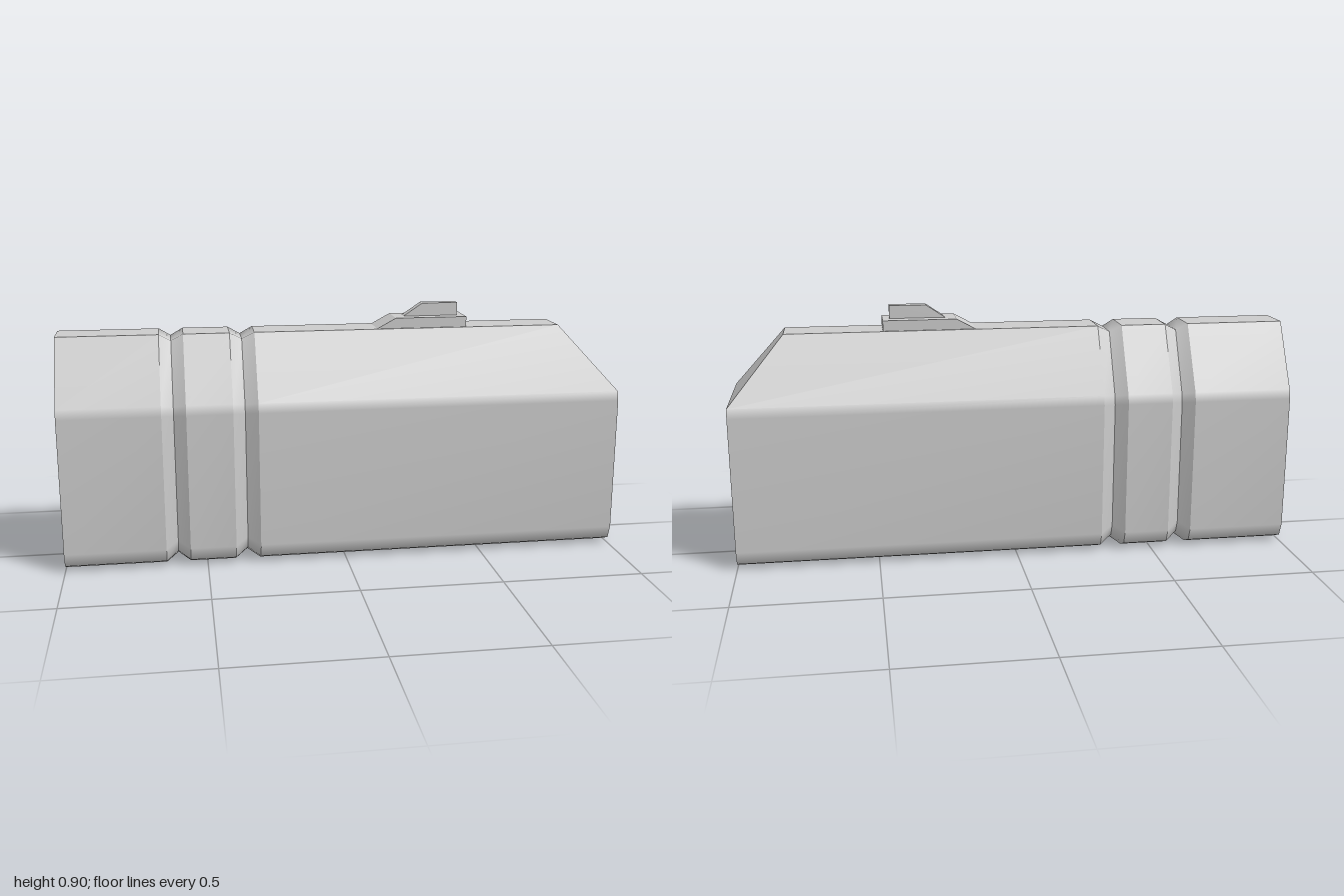
import * as THREE from 'three';

// Half cross-sections as [z, y], listed from bottom to top
const OUTER = [[0.135, 0], [0.185, 0.022], [0.203, 0.07], [0.203, 0.555], [0.195, 0.588], [0.068, 0.817]];
const BORE = [[0.055, 0.079], [0.092, 0.088], [0.118, 0.115], [0.13, 0.155],
  [0.13, 0.495], [0.118, 0.536], [0.092, 0.563], [0.055, 0.572]];
const CUT_X = 0.805; // where the sloped nose begins on the top ridge

const mirrored = (half) => [...half, ...half.map(([z, y]) => [-z, y]).reverse()];
const ring = (half, x) => mirrored(half).map(([z, y]) => [x, y, z]);

// Smooth skin between two matching rows of [x, y, z]
function skin(a, b) {
  const n = a.length;
  const index = [];
  for (let i = 0; i < n - 1; i++) index.push(i, n + i, n + i + 1, i, n + i + 1, i + 1);
  return surface([...a, ...b], index);
}

// Smooth skin closed all the way round: the seam shares its vertices
function tube(a, b) {
  const n = a.length;
  const index = [];
  for (let i = 0; i < n; i++) {
    const j = (i + 1) % n;
    index.push(i, n + i, n + j, i, n + j, j);
  }
  return surface([...a, ...b], index);
}

function surface(points, index) {
  const g = new THREE.BufferGeometry();
  g.setAttribute('position', new THREE.Float32BufferAttribute(points.flat(), 3));
  g.setIndex(index);
  g.computeVertexNormals();
  return g;
}

// Flat end wall with the bore opening, facing dir * x
function endWall(half, x, dir) {
  const toPoints = (h) => mirrored(h).map(([z, y]) => new THREE.Vector2(z, y));
  const shape = new THREE.Shape(toPoints(half));
  shape.holes.push(new THREE.Path(toPoints(BORE)));
  return new THREE.ShapeGeometry(shape).rotateY(dir * Math.PI / 2).translate(x, 0, 0);
}

// Side profile in x, y extruded to a centred width in z
function block(profile, width) {
  const shape = new THREE.Shape(profile.map(([x, y]) => new THREE.Vector2(x, y)));
  return new THREE.ExtrudeGeometry(shape, { depth: width, bevelEnabled: false }).translate(0, 0, -width / 2);
}

export function createModel() {
  const model = new THREE.Group();
  model.name = 'hollowHousing';
  const grey = new THREE.MeshStandardMaterial({ color: 0xcccccc });
  grey.name = 'lightGrey';
  const add = (name, geometry) => {
    const mesh = new THREE.Mesh(geometry, grey);
    mesh.name = name;
    model.add(mesh);
  };

  // Shell sections: rounded sides and belly, with a sharp flat ridge on top
  const addShell = (name, a, b) => {
    const top = a.length / 2;
    const sides = (r) => [...r.slice(top), ...r.slice(0, top)];
    add(name + 'Sides', skin(sides(a), sides(b)));
    add(name + 'Ridge', skin(a.slice(top - 1, top + 1), b.slice(top - 1, top + 1)));
  };
  const nose = ring(OUTER, 1).map(([x, y, z]) => [y > 0.6 ? CUT_X : x, y, z]);
  addShell('rearShell', ring(OUTER, -1), ring(OUTER, -0.645));
  addShell('middleShell', ring(OUTER, -0.56), ring(OUTER, -0.398));
  addShell('mainShell', ring(OUTER, -0.31), nose);

  // V grooves between the shell sections
  const valley = OUTER.map(([z, y]) => [z * 0.865, 0.029 + y * 0.936]);
  for (const [name, x0, x1, x2] of [['rearGroove', -0.645, -0.603, -0.56], ['frontGroove', -0.398, -0.355, -0.31]]) {
    add(name + 'Back', tube(ring(OUTER, x0), ring(valley, x1)));
    add(name + 'Front', tube(ring(valley, x1), ring(OUTER, x2)));
  }

  // Sloped face at the nose
  add('noseSlope', surface([
    [1, 0.588, 0.195], [1, 0.588, -0.195], [CUT_X, 0.817, -0.068], [CUT_X, 0.817, 0.068],
  ], [0, 1, 2, 0, 2, 3]));

  // End walls and through bore
  add('noseWall', endWall(OUTER.slice(0, 5), 1, 1));
  add('rearWall', endWall(OUTER, -1, -1));
  add('bore', tube(ring(BORE, -1).reverse(), ring(BORE, 1).reverse()));

  // Stepped ramp on the top ridge
  add('rampBase', block([[0.13, 0.816], [0.46, 0.816], [0.46, 0.854], [0.2, 0.854]], 0.122));
  add('rampBlade', block([[0.235, 0.853], [0.435, 0.853], [0.435, 0.9], [0.305, 0.9]], 0.036));

  return model;
}
